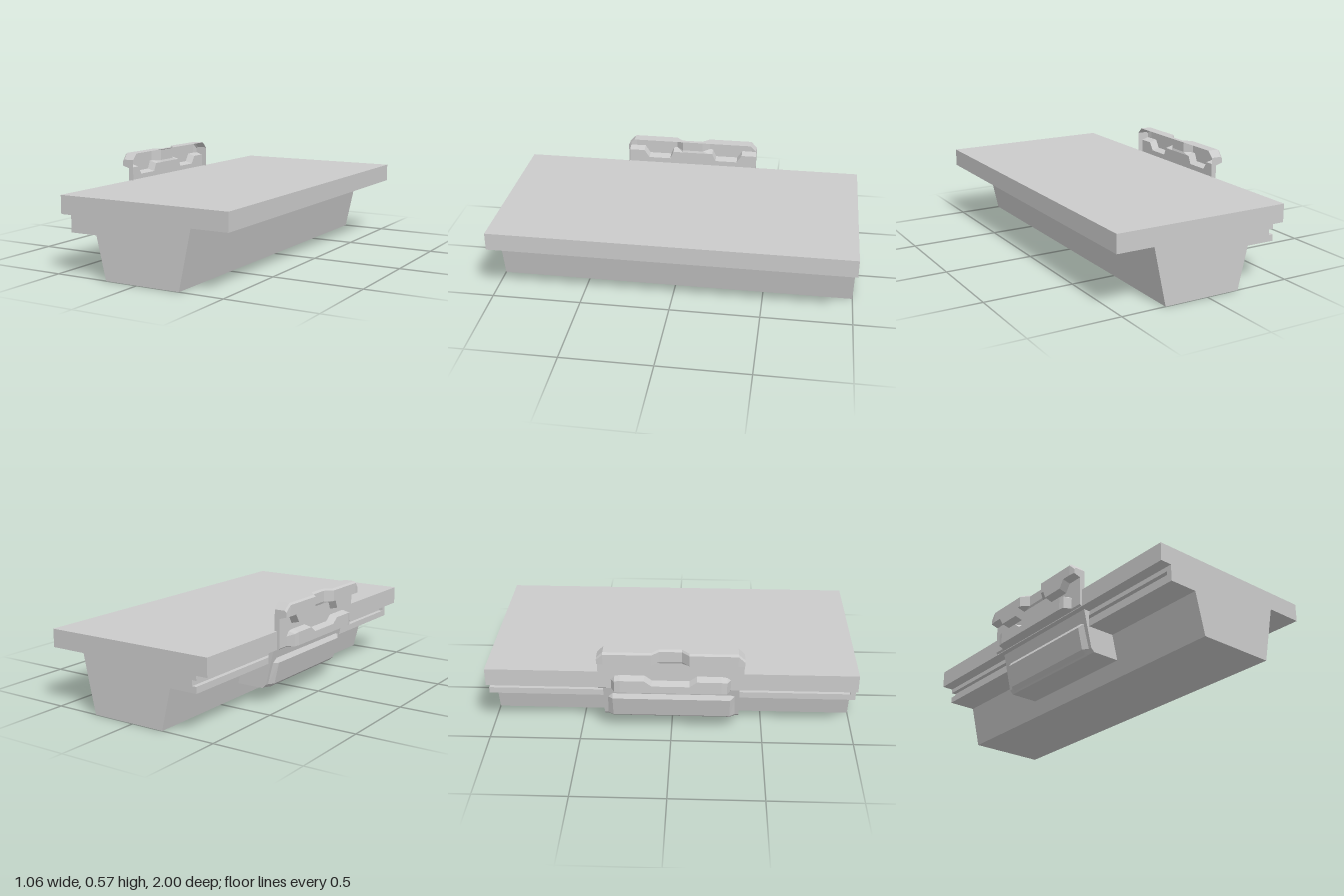
import * as THREE from 'three';

const solid = new THREE.MeshStandardMaterial({ color: 0xcccccc, flatShading: true });
const thin = new THREE.MeshStandardMaterial({ color: 0xcccccc, flatShading: true, side: THREE.DoubleSide });

const toShape = (pts) => new THREE.Shape(pts.map(([x, y]) => new THREE.Vector2(x, y)));

// Profile in x/y swept along z from z0 to z1
function sweep(name, pts, z0, z1) {
  const geo = new THREE.ExtrudeGeometry(toShape(pts), { depth: z1 - z0, bevelEnabled: false });
  geo.translate(0, 0, z0);
  const mesh = new THREE.Mesh(geo, solid);
  mesh.name = name;
  return mesh;
}

// Skin over open cross-sections [z, [[x, y], ...]], optionally with flat ends
function loft(name, sections, endExtra) {
  const pos = [];
  for (let i = 0; i < sections.length - 1; i++) {
    const [z0, p] = sections[i], [z1, q] = sections[i + 1];
    for (let j = 0; j < p.length - 1; j++) {
      const a = [...p[j], z0], b = [...p[j + 1], z0], c = [...q[j], z1], d = [...q[j + 1], z1];
      pos.push(...a, ...b, ...c, ...b, ...d, ...c);
    }
  }
  const geo = new THREE.BufferGeometry();
  geo.setAttribute('position', new THREE.Float32BufferAttribute(pos, 3));
  geo.computeVertexNormals();
  const group = new THREE.Group();
  group.name = name;
  group.add(new THREE.Mesh(geo, thin));
  for (const [z, p] of [sections[0], sections[sections.length - 1]]) {
    const cap = new THREE.Mesh(new THREE.ShapeGeometry(toShape([...p, ...endExtra])), thin);
    cap.position.z = z;
    group.add(cap);
  }
  group.children.forEach((m) => { m.name = name + 'Face'; });
  return group;
}

export function createModel() {
  const model = new THREE.Group();
  model.name = 'railSection';

  // Main block: wide top slab, side shelf and tapered keel
  const lower = [[-0.405, 0.23], [-0.245, 0.23], [-0.19, 0], [0.25, 0], [0.32, 0.32], [0.53, 0.32],
    [0.53, 0.42], [-0.47, 0.42], [-0.47, 0.32], [-0.405, 0.32]];
  const groove = [[-0.405, 0.295], [-0.38, 0.295], [-0.38, 0.265], [-0.405, 0.265]];
  model.add(sweep('body', [...lower, ...groove], -1, 0.97));
  model.add(sweep('bodyFrontEnd', lower, 0.97, 1));

  // Side clip: one pressed shell, open towards the slab
  // half stations: z, top, lip x, lip bottom, lower rib x, lower rib top
  const half = [
    [0.06, 0.57, -0.49, 0.5, -0.53, 0.37],
    [0.1, 0.57, -0.53, 0.5, -0.53, 0.37],
    [0.12, 0.57, -0.53, 0.5, -0.53, 0.385],
    [0.14, 0.57, -0.53, 0.455, -0.53, 0.4],
    [0.27, 0.57, -0.53, 0.455, -0.53, 0.4],
    [0.3, 0.57, -0.53, 0.5, -0.525, 0.395],
    [0.32, 0.57, -0.53, 0.5, -0.485, 0.38],
    [0.355, 0.57, -0.53, 0.5, -0.485, 0.38],
    [0.39, 0.535, -0.525, 0.5, -0.485, 0.38],
  ];
  const stations = [...half.map(([z, ...r]) => [-z, ...r]).reverse(), ...half];
  const clipSections = stations.map(([z, top, lipX, lipY, ribX, ribY]) => [z, [
    [-0.455, top], [lipX + 0.01, top], [lipX, top - 0.01], [lipX, lipY], [-0.485, lipY - 0.012],
    [-0.485, ribY + 0.01], [ribX, ribY], [ribX, 0.328], [-0.475, 0.32],
  ]]);
  model.add(loft('sideClip', clipSections, [[-0.455, 0.32]]));

  // Lower bracket under the shelf, with a raised bevelled outer panel
  model.add(sweep('lowerBracket', [[-0.44, 0.32], [-0.39, 0.11], [-0.37, 0.09], [-0.21, 0.09],
    [-0.245, 0.23], [-0.405, 0.23], [-0.405, 0.32]], -0.37, 0.37));
  const inner = [[-0.42, 0.25], [-0.415, 0.23], [-0.39, 0.11], [-0.37, 0.09]];
  const outer = [[-0.425, 0.255], [-0.44, 0.23], [-0.412, 0.11], [-0.388, 0.09]];
  model.add(loft('bracketPanel', [[-0.35, inner], [-0.32, outer], [0.32, outer], [0.35, inner]], []));

  return model;
}
